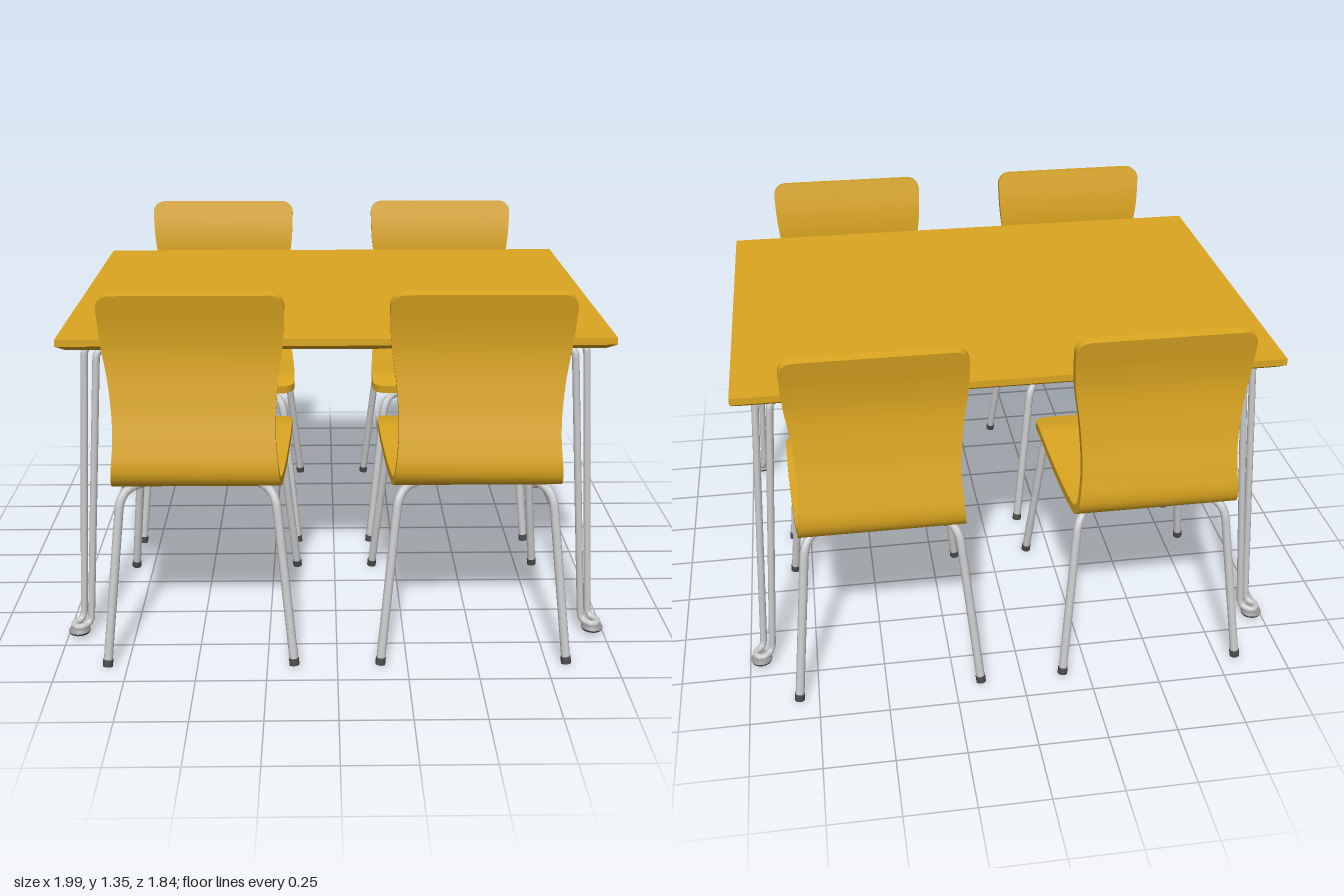
import * as THREE from 'three';
import { mergeGeometries } from 'three/addons/utils/BufferGeometryUtils.js';

const V = (x, y, z) => new THREE.Vector3(x, y, z);

function material(name, color, side = THREE.FrontSide) {
  const m = new THREE.MeshStandardMaterial({ color, side });
  m.name = name;
  return m;
}

function addMesh(parent, name, geometry, mat, x = 0, y = 0, z = 0) {
  const mesh = new THREE.Mesh(geometry, mat);
  mesh.name = name;
  mesh.position.set(x, y, z);
  parent.add(mesh);
  return mesh;
}

// Tube along a polyline whose corners are rounded
function bentTube(points, radius, bend, segments) {
  const path = new THREE.CurvePath();
  let from = points[0];
  for (let i = 1; i < points.length - 1; i++) {
    const p = points[i];
    const toward = (q) => {
      const d = q.clone().sub(p);
      return p.clone().add(d.setLength(Math.min(bend, d.length() * 0.45)));
    };
    const a = toward(points[i - 1]), b = toward(points[i + 1]);
    path.add(new THREE.LineCurve3(from, a));
    path.add(new THREE.QuadraticBezierCurve3(a, p, b));
    from = b;
  }
  path.add(new THREE.LineCurve3(from, points[points.length - 1]));
  return new THREE.TubeGeometry(path, segments, radius, 10);
}

// Smooth strip of quads between two rows of points
function strip(a, b) {
  const g = new THREE.BufferGeometry(), index = [];
  g.setFromPoints([...a, ...b]);
  const n = a.length;
  for (let i = 0; i < n - 1; i++) index.push(i, n + i, i + 1, n + i, n + i + 1, i + 1);
  g.setIndex(index);
  g.computeVertexNormals();
  return g;
}

// Bent plywood shell: side profile swept with a varying width and rounded end corners
function shellGeometry() {
  const profile = new THREE.CatmullRomCurve3([
    [1.35, 0.82], [1.22, 0.798], [1.12, 0.793], [0.95, 0.812], [0.82, 0.838], [0.74, 0.851],
    [0.70, 0.842], [0.678, 0.812], [0.672, 0.77], [0.673, 0.6], [0.682, 0.4], [0.687, 0.29], [0.671, 0.18],
  ].map(([y, z]) => V(0, y, z)), false, 'centripetal');
  const widths = new THREE.SplineCurve(
    [0.312, 0.306, 0.285, 0.277, 0.291, 0.304, 0.313, 0.32, 0.322].map((w, i) => new THREE.Vector2(i, w)));
  const length = profile.getLength(), r = 0.05, end = r / length, half = 0.016;
  const us = [];
  for (let k = 0; k < 7; k++) us.push(end * (1 - Math.cos((k / 7) * Math.PI / 2)));
  const tail = us.map((u) => 1 - u).reverse();
  for (let k = 0; k <= 60; k++) us.push(end + (1 - 2 * end) * k / 60);
  us.push(...tail);

  const inL = [], inR = [], outL = [], outR = [];
  for (const u of us) {
    const p = profile.getPointAt(u), t = profile.getTangentAt(u);
    const n = V(0, -t.z, t.y).multiplyScalar(half);
    const d = Math.min(r, Math.min(u, 1 - u) * length);
    const w = widths.getPoint(u).y - r + Math.sqrt(Math.max(0, r * r - (r - d) ** 2));
    inL.push(V(-w, p.y + n.y, p.z + n.z));
    inR.push(V(w, p.y + n.y, p.z + n.z));
    outL.push(V(-w, p.y - n.y, p.z - n.z));
    outR.push(V(w, p.y - n.y, p.z - n.z));
  }
  const e = us.length - 1;
  return mergeGeometries([
    strip(inL, inR), strip(outR, outL), strip(inR, outR), strip(outL, inL),
    strip([inR[0], outR[0]], [inL[0], outL[0]]),
    strip([inL[e], outL[e]], [inR[e], outR[e]]),
  ]);
}

export function createModel() {
  const wood = material('golden wood', 0xdaa520);
  const metal = material('light metal', 0xc8c8c8);
  const bracketGrey = material('bracket grey', 0x9a9a9a);
  const rubber = material('dark rubber', 0x4a4a4a);

  const model = new THREE.Group();
  model.name = 'diningSet';

  // Table top with an undercut lower edge
  const table = new THREE.Group();
  table.name = 'table';
  model.add(table);
  let top = new THREE.BoxGeometry(1.94, 0.045, 1.38, 1, 2, 1);
  const pos = top.attributes.position;
  for (let i = 0; i < pos.count; i++) {
    const y = pos.getY(i);
    if (Math.abs(y) < 0.01) pos.setY(i, -0.002);
    if (y < -0.01) {
      pos.setX(i, pos.getX(i) - Math.sign(pos.getX(i)) * 0.03);
      pos.setZ(i, pos.getZ(i) - Math.sign(pos.getZ(i)) * 0.03);
    }
  }
  top = top.toNonIndexed();
  top.computeVertexNormals();
  addMesh(table, 'tableTop', top, wood, 0, 1.1325, 0);

  // Table legs: one looped rod each, with a plate above and a foot disc below
  for (const sx of [-1, 1]) for (const sz of [-1, 1]) {
    const leg = new THREE.Group();
    leg.name = 'tableLeg';
    table.add(leg);
    const points = [
      [0.77, 1.095, 0.45], [0.89, 1.095, 0.57], [0.947, 0.05, 0.635], [0.985, 0.044, 0.672],
      [0.952, 0.044, 0.705], [0.915, 0.05, 0.667], [0.84, 1.095, 0.62], [0.72, 1.095, 0.5],
    ].map(([x, y, z]) => V(x * sx, y, z * sz));
    addMesh(leg, 'legRod', bentTube(points, 0.013, 0.03, 220), metal);
    addMesh(leg, 'mountPlate', new THREE.CylinderGeometry(0.075, 0.075, 0.012, 24), bracketGrey,
      0.795 * sx, 1.104, 0.525 * sz);
    addMesh(leg, 'footDisc', new THREE.CylinderGeometry(0.034, 0.04, 0.012, 24), bracketGrey,
      0.957 * sx, 0.032, 0.68 * sz);
    addMesh(leg, 'footPad', new THREE.CylinderGeometry(0.04, 0.037, 0.008, 24), rubber,
      0.957 * sx, 0.022, 0.68 * sz);
  }

  // Chair: shell on two crossing bent tubes
  const chair = new THREE.Group();
  chair.name = 'chair';
  addMesh(chair, 'seatShell', shellGeometry(), wood);
  for (const s of [-1, 1]) {
    const rear = V(s * 0.333, 0.01, 0.9), front = V(-s * 0.333, 0.01, 0.115);
    const rearKnee = V(s * 0.27, 0.636, 0.79), frontKnee = V(-s * 0.27, 0.636, 0.185);
    const middle = V(0, s > 0 ? 0.644 : 0.622, 0.49);
    addMesh(chair, 'legTube', bentTube([rear, rearKnee, middle, frontKnee, front], 0.016, 0.07, 90), metal);

    // Rubber caps aligned with the legs
    for (const [foot, knee] of [[rear, rearKnee], [front, frontKnee]]) {
      const cap = addMesh(chair, 'legCap', new THREE.CylinderGeometry(0.018, 0.018, 0.026, 14), rubber);
      const dir = knee.clone().sub(foot).normalize();
      cap.quaternion.setFromUnitVectors(V(0, 1, 0), dir);
      cap.position.copy(foot).addScaledVector(dir, 0.006);
    }

    // Pads between tube and seat
    const turn = Math.atan2(s * 0.27, 0.3);
    addMesh(chair, 'rearPad', new THREE.BoxGeometry(0.045, 0.022, 0.06), bracketGrey,
      s * 0.2, 0.65, 0.71).rotation.y = turn;
    addMesh(chair, 'frontPad', new THREE.BoxGeometry(0.05, 0.034, 0.08), bracketGrey,
      -s * 0.11, 0.655, 0.367).rotation.y = turn;
  }

  // Two chairs on each long side, facing the table
  for (const x of [-0.487, 0.487]) for (const turn of [0, Math.PI]) {
    const c = chair.clone();
    c.name = turn ? 'backChair' : 'frontChair';
    c.position.x = x;
    c.rotation.y = turn;
    model.add(c);
  }
  return model;
}
